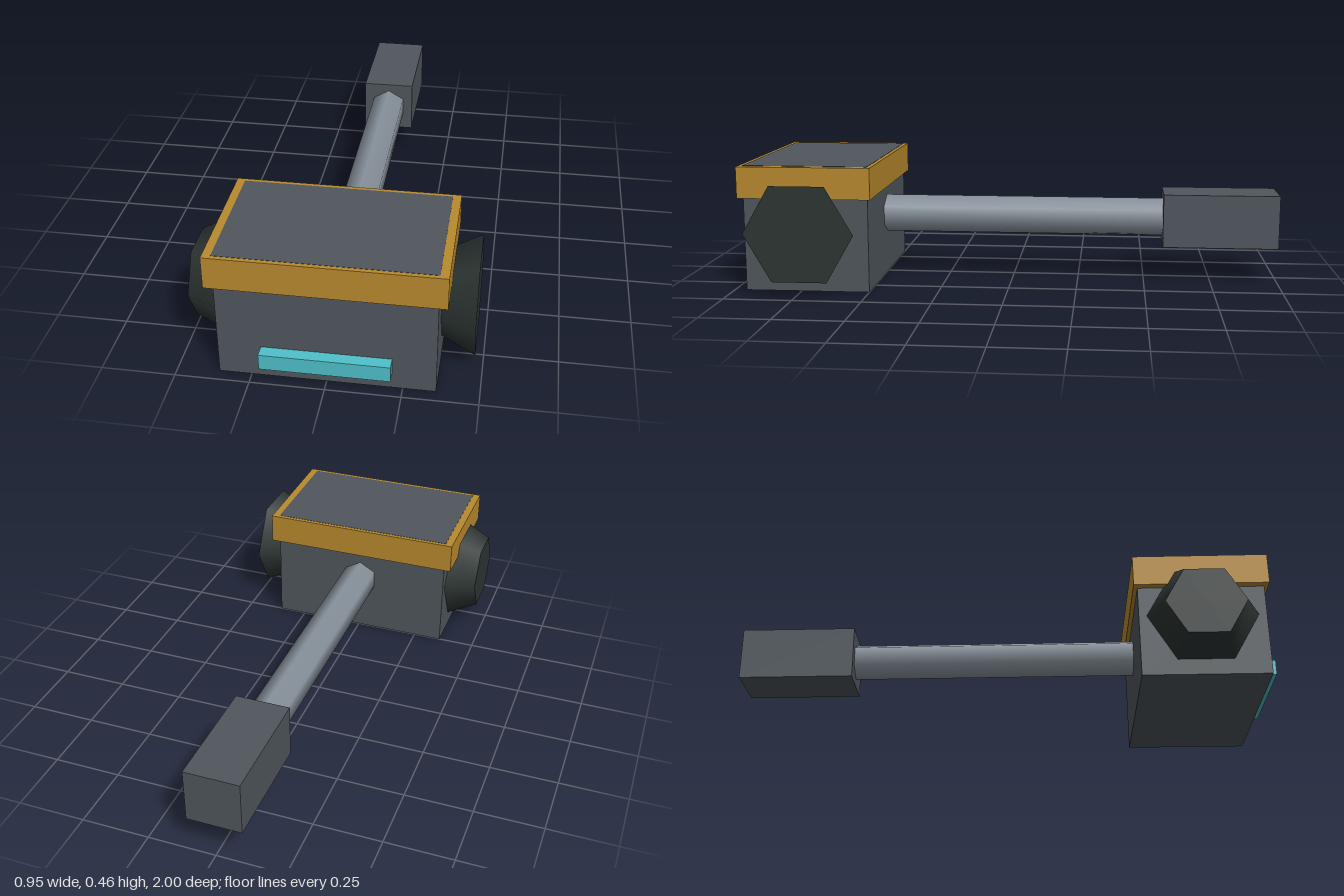
import * as THREE from 'three';

const material = (name, color) => {
  const m = new THREE.MeshStandardMaterial({ color });
  m.name = name;
  return m;
};

export function createModel() {
  const model = new THREE.Group();
  model.name = 'hammer';

  const darkGrey = material('dark grey', 0x50575d);
  const steel = material('steel', 0x88929c);
  const gold = material('gold', 0xb98a2e);
  const black = material('greenish black', 0x2c3533);
  const cyan = material('cyan', 0x4fc0ca);

  const add = (name, geometry, mat, x, y, z) => {
    const mesh = new THREE.Mesh(geometry, mat);
    mesh.name = name;
    mesh.position.set(x, y, z);
    model.add(mesh);
    return mesh;
  };
  const box = (name, mat, [w, h, d], [x, y, z]) =>
    add(name, new THREE.BoxGeometry(w, h, d), mat, x, y, z);

  const axisY = 0.232, headZ = 0.728;

  // Head block, standing a hair proud of the gold band around its top
  box('head', darkGrey, [0.718, 0.461, 0.457], [0, 0.2305, headZ]);
  box('headBand', gold, [0.776, 0.115, 0.487], [0, 0.4025, headZ]);

  // Glowing strip on the front of the head
  box('frontStrip', cyan, [0.43, 0.057, 0.06], [0, 0.0885, 0.97]);

  // Six-sided striking faces, both narrowing toward -x
  for (const [name, side] of [['rightStrikingFace', -1], ['leftStrikingFace', 1]]) {
    const face = add(name, new THREE.CylinderGeometry(0.144, 0.2, 0.115, 6), black,
      side * 0.4165, axisY, headZ);
    face.rotation.z = Math.PI / 2;
  }

  // Six-sided shaft from the head into the grip
  const shaft = add('shaft', new THREE.CylinderGeometry(0.072, 0.072, 1.16, 6), steel,
    0, axisY, -0.03);
  shaft.rotation.x = Math.PI / 2;

  // Grip at the rear end
  box('grip', darkGrey, [0.2, 0.2, 0.43], [0, axisY, -0.785]);

  return model;
}
